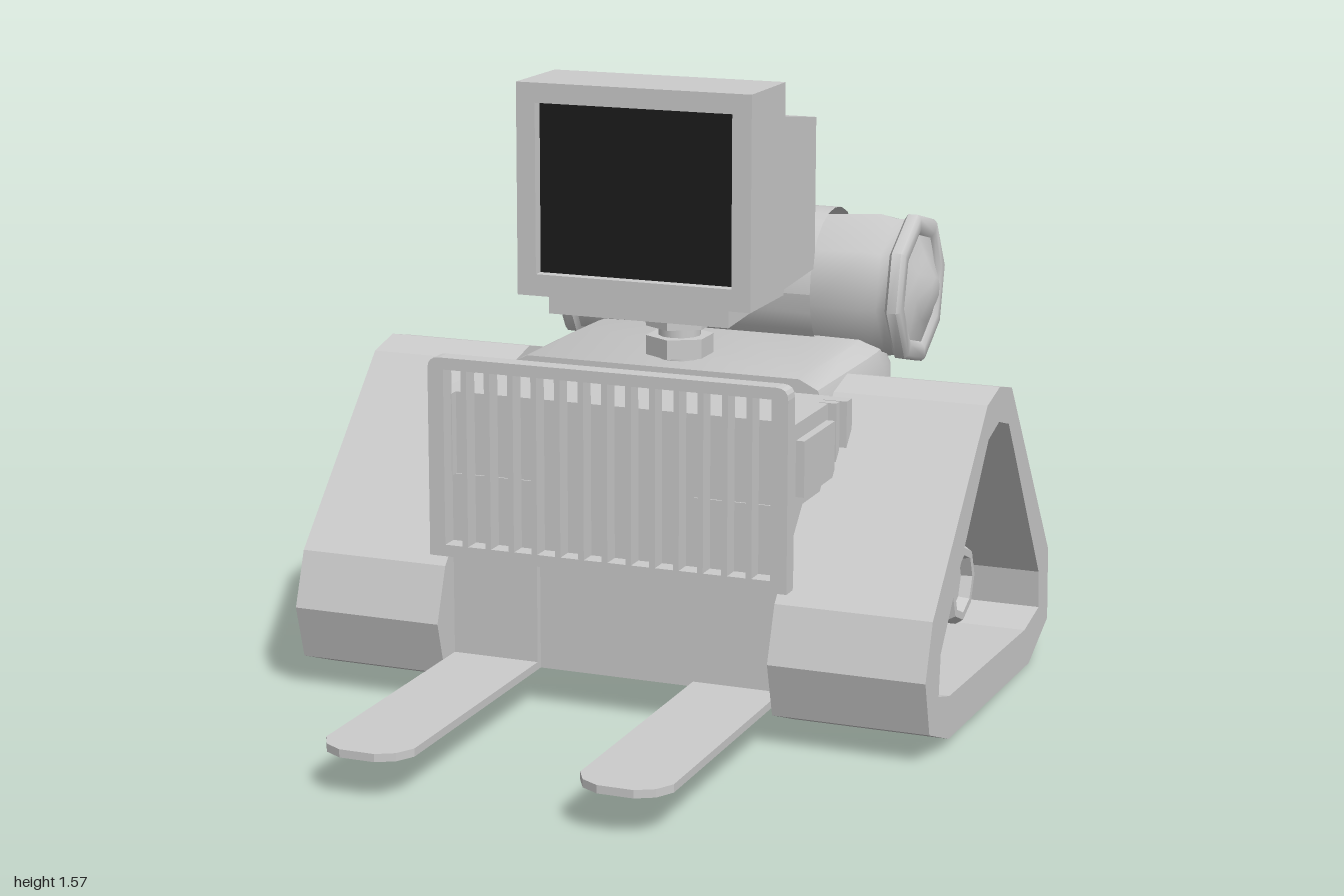
import * as THREE from 'three';
import { toCreasedNormals } from 'three/addons/utils/BufferGeometryUtils.js';

const grey = new THREE.MeshStandardMaterial({ color: 0xcccccc, side: THREE.DoubleSide });
const dark = new THREE.MeshStandardMaterial({ color: 0x1c1c1c });

export function createModel() {
  const model = new THREE.Group();

  const add = (name, geometry, x = 0, y = 0, z = 0, material = grey) => {
    const mesh = new THREE.Mesh(geometry, material);
    mesh.name = name;
    mesh.position.set(x, y, z);
    model.add(mesh);
    return mesh;
  };
  // Box given by its limits on each axis
  const box = (name, x0, x1, y0, y1, z0, z1, material) =>
    add(name, new THREE.BoxGeometry(Math.abs(x1 - x0), y1 - y0, z1 - z0),
      (x0 + x1) / 2, (y0 + y1) / 2, (z0 + z1) / 2, material);
  const polygon = (pts) => new THREE.Shape(pts.map(([a, b]) => new THREE.Vector2(a, b)));
  const rect = (x0, x1, y0, y1) => polygon([[x0, y0], [x1, y0], [x1, y1], [x0, y1]]);
  const extrude = (shape, depth) => new THREE.ExtrudeGeometry(shape, { depth, bevelEnabled: false, curveSegments: 4 });
  // Side profile in (z, y), running across x from x0 to x1
  const sideExtrude = (shape, x0, x1) => extrude(shape, x1 - x0).rotateY(-Math.PI / 2).translate(x1, 0, 0);
  // Turned part around the x axis; profile of [radius, x]
  const turned = (pts, sides, crease = 0.5) => toCreasedNormals(
    new THREE.LatheGeometry(pts.map(([r, x]) => new THREE.Vector2(r, x)), sides).rotateZ(-Math.PI / 2), crease);

  // Rear hull: stacked outlines, rounded at the back and leaning inwards
  const rows = [[0.11, 1.0, 0.44], [0.35, 0.965, 0.44], [0.6, 0.925, 0.44], [0.77, 0.898, 0.44], [0.82, 0.88, 0.42], [0.845, 0.82, 0.37]];
  const steps = 24, pos = [], idx = [];
  const ring = steps + 3;
  rows.forEach(([y, back, w]) => {
    pos.push(w, y, -0.09);
    for (let i = 0; i <= steps; i++) {
      const a = (i / steps) * Math.PI, c = Math.cos(a), s = Math.sin(a);
      pos.push(w * Math.sign(c) * Math.abs(c) ** 0.72, y, -0.48 - (back - 0.48) * s ** 0.72);
    }
    pos.push(-w, y, -0.09);
  });
  for (let r = 0; r < rows.length - 1; r++) {
    for (let i = 0; i < ring; i++) {
      const j = (i + 1) % ring, a = r * ring + i, b = r * ring + j;
      idx.push(a, b, b + ring, a, b + ring, a + ring);
    }
  }
  const top = (rows.length - 1) * ring;
  for (let i = 1; i < ring - 1; i++) {
    idx.push(0, i + 1, i, top, top + i, top + i + 1);
  }
  const hull = new THREE.BufferGeometry();
  hull.setAttribute('position', new THREE.Float32BufferAttribute(pos, 3));
  hull.setIndex(idx);
  add('hull', toCreasedNormals(hull, 0.7));

  // Front chassis
  box('chassisFront', -0.44, 0.44, 0.11, 0.6, -0.1, 0.2);
  box('chassisUpper', -0.45, 0.45, 0.6, 0.81, -0.09, 0.215);

  // Front grille
  const grille = new THREE.Shape();
  const gx = 0.475, c = 0.03;
  grille.moveTo(-gx, 0.4).lineTo(gx, 0.4).lineTo(gx, 0.91 - c);
  grille.quadraticCurveTo(gx, 0.91, gx - c, 0.91).lineTo(-gx + c, 0.91);
  grille.quadraticCurveTo(-gx, 0.91, -gx, 0.91 - c).lineTo(-gx, 0.4);
  const slots = 14, pitch = 0.88 / slots;
  for (let i = 0; i < slots; i++) {
    const x = -0.44 + (i + 0.5) * pitch;
    grille.holes.push(rect(x - 0.024, x + 0.024, 0.43, 0.88));
  }
  add('grille', extrude(grille, 0.048), 0, 0, 0.235);

  // Track loop: outline and opening in (z, y)
  const track = polygon([[0.32, 0.23], [0.27, 0.37], [-0.155, 0.805], [-0.26, 0.83], [-0.37, 0.805],
    [-0.765, 0.28], [-0.775, 0.085], [-0.6, 0.01], [0.12, 0.03], [0.28, 0.09]]);
  track.holes.push(polygon([[0.2, 0.27], [0.21, 0.165], [0.12, 0.14], [-0.55, 0.115], [-0.685, 0.14],
    [-0.675, 0.24], [-0.35, 0.715], [-0.26, 0.74], [-0.17, 0.715]]));

  // Fork seen from above, in (x, -z)
  const fork = polygon([[0.21, -0.18], [0.21, -0.93], [0.235, -0.975], [0.28, -1], [0.37, -1],
    [0.415, -0.975], [0.44, -0.93], [0.44, -0.18]]);

  for (const side of [1, -1]) {
    const label = side > 0 ? 'left' : 'right';
    add(label + 'Track', sideExtrude(track, side > 0 ? 0.44 : -0.84, side > 0 ? 0.84 : -0.44));

    // Wheels: backing disc, hub and sunken centre
    for (const [z, y, r] of [[0.065, 0.25, 0.155], [-0.525, 0.23, 0.155], [-0.26, 0.655, 0.1]]) {
      const h = r * 0.72;
      const wheel = add(label + 'Wheel', turned([[0, 0.42], [r, 0.42], [r, 0.58], [h, 0.58], [h, 0.66],
        [h * 0.88, 0.68], [h * 0.7, 0.68], [h * 0.66, 0.65], [0, 0.65]], 8, 0.3), 0, y, z);
      wheel.rotation.y = side > 0 ? 0 : Math.PI;
    }

    // Forks with their upright plates
    const prong = add(label + 'Fork', extrude(fork, 0.02).rotateX(-Math.PI / 2), side > 0 ? 0 : -0.65, 0.11, 0);
    prong.updateMatrix();
    box(label + 'ForkUpright', side * 0.21, side * 0.44, 0.11, 0.6, 0.19, 0.22);

    // Grille brackets and side clasps
    box(label + 'GrilleBracket', side * 0.43, side * 0.475, 0.6, 0.81, -0.01, 0.24);
    box(label + 'BracketPanel', side * 0.47, side * 0.497, 0.63, 0.77, 0, 0.225);
    box(label + 'Clasp', side * 0.43, side * 0.495, 0.6, 0.81, -0.04, -0.015);
    box(label + 'ClaspPlate', side * 0.43, side * 0.512, 0.62, 0.81, -0.085, -0.045);
  }

  // Rear drum with rims and domed ends
  const half = [[0, 0.525], [0.035, 0.525], [0.09, 0.5], [0.15, 0.48], [0.165, 0.49], [0.195, 0.49], [0.205, 0.48],
    [0.205, 0.455], [0.19, 0.445], [0.19, 0.42], [0.2, 0.38], [0.19, 0.24]];
  const drum = [...half.map(([r, x]) => [r, -x]), ...half.slice().reverse()];
  add('rearDrum', turned(drum, 8, 0.85).rotateX(0.15), 0, 0.965, -0.73);

  // Saddle around the drum, narrowing to a point at the lower back
  const saddle = new THREE.CylinderGeometry(0.2, 0.2, 2, 24, 1, true).rotateZ(Math.PI / 2);
  const p = saddle.attributes.position;
  for (let i = 0; i < p.count; i++) {
    const y = p.getY(i), z = p.getZ(i);
    const w = z > 0 ? 0.24 : 0.03 + 0.21 * THREE.MathUtils.smoothstep(y, -0.18, 0.16);
    p.setX(i, p.getX(i) * w);
  }
  saddle.computeVertexNormals();
  add('drumSaddle', saddle, 0, 0.965, -0.738);

  // Neck with two hexagonal nuts
  add('neckStem', new THREE.CylinderGeometry(0.055, 0.055, 0.22, 12), 0, 0.93, -0.22);
  for (const y of [0.88, 0.955]) {
    add('neckNut', toCreasedNormals(new THREE.CylinderGeometry(0.088, 0.088, 0.05, 6), 0.3), 0, y, -0.22);
  }

  // Monitor: housing, bezel, screen and rear hinge roll
  add('monitorBack', sideExtrude(polygon([[0.065, 0.995], [0.065, 1.06], [-0.13, 1.06], [-0.13, 1.485], [-0.22, 1.48],
    [-0.575, 1.43], [-0.575, 1.03]]), -0.24, 0.24));
  const bezel = rect(-0.31, 0.31, 1.045, 1.58);
  bezel.holes.push(rect(-0.26, 0.26, 1.1, 1.53));
  add('monitorBezel', extrude(bezel, 0.05), 0, 0, 0.05);
  box('monitorFront', -0.31, 0.31, 1.045, 1.58, -0.14, 0.05);
  box('screen', -0.26, 0.26, 1.1, 1.53, 0.04, 0.07, dark);
  add('monitorRoll', new THREE.CylinderGeometry(0.04, 0.04, 0.46, 12).rotateZ(Math.PI / 2), 0, 1.495, -0.18);

  return model;
}
